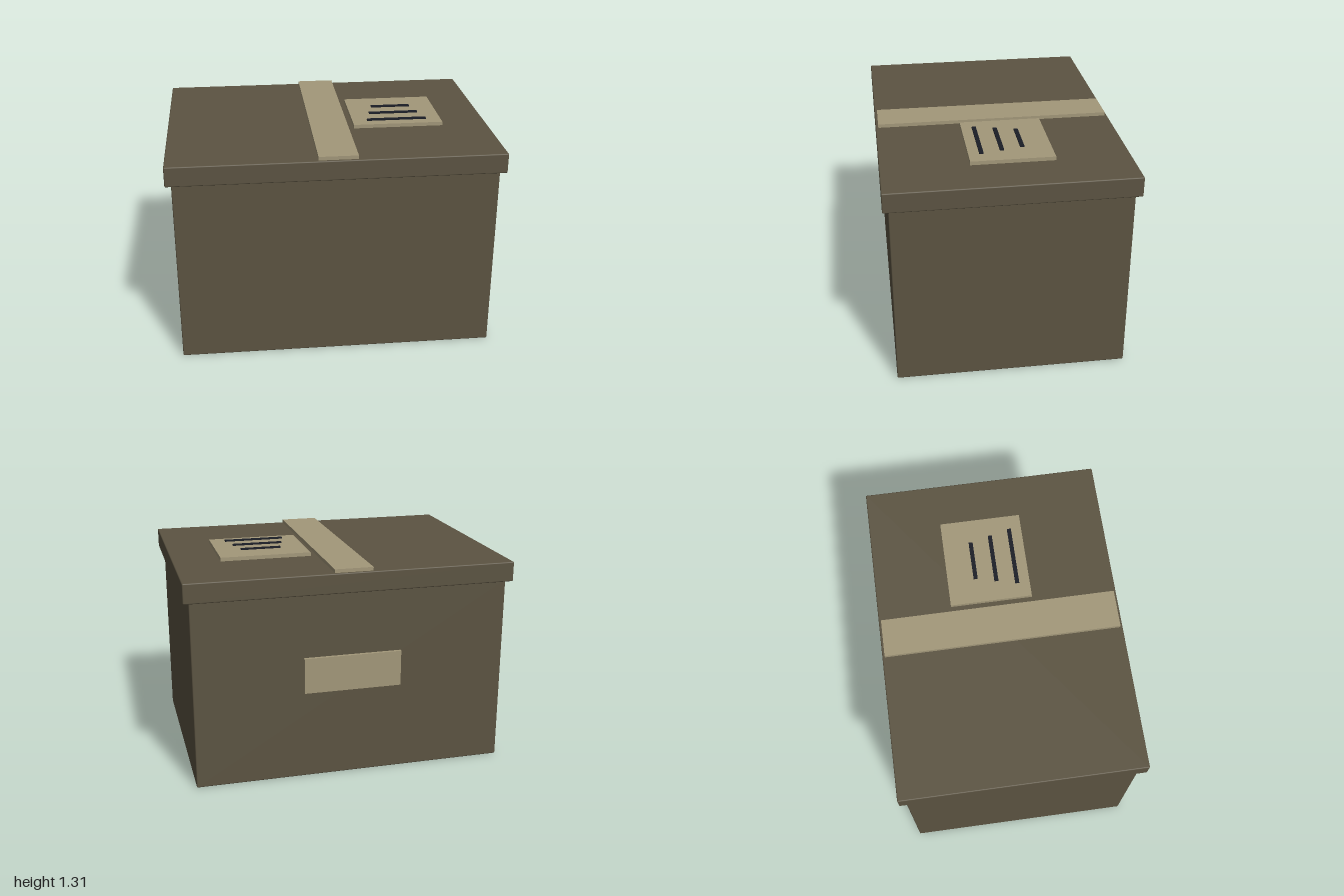
import * as THREE from 'three';
import { RoundedBoxGeometry } from 'three/addons/geometries/RoundedBoxGeometry.js';

const cardboard = new THREE.MeshStandardMaterial({ color: 0x5c5442 });
const paper = new THREE.MeshStandardMaterial({ color: 0xa3987a });
const ink = new THREE.MeshStandardMaterial({ color: 0x1a1d26 });

export function createModel() {
  const model = new THREE.Group();
  model.name = 'storageBox';

  // Box given by its [min, max] range on each axis, with optional softened edges
  function addBox(name, material, [x0, x1], [y0, y1], [z0, z1], radius = 0) {
    const size = [x1 - x0, y1 - y0, z1 - z0];
    const geometry = radius
      ? new RoundedBoxGeometry(...size, 2, radius)
      : new THREE.BoxGeometry(...size);
    const mesh = new THREE.Mesh(geometry, material);
    mesh.name = name;
    mesh.position.set((x0 + x1) / 2, (y0 + y1) / 2, (z0 + z1) / 2);
    model.add(mesh);
  }

  // Carton and overhanging lid
  addBox('body', cardboard, [-0.965, 0.965], [0, 1.17], [-0.7, 0.7], 0.007);
  addBox('lid', cardboard, [-1, 1], [1.16, 1.282], [-0.733, 0.733], 0.007);

  // Tape strip across the lid
  addBox('tape', paper, [-0.117, 0.117], [1.28, 1.304], [-0.717, 0.717]);

  // Paper label with three lines of growing length
  addBox('label', paper, [0.155, 0.715], [1.28, 1.305], [-0.285, 0.215]);
  for (let i = 0; i < 3; i++) {
    const half = 0.125 + i * 0.031;
    const z = -0.112 + i * 0.125;
    addBox('labelLine', ink, [0.435 - half, 0.435 + half], [1.303, 1.313], [z - 0.0125, z + 0.0125]);
  }

  // Hand grip plate on the back
  addBox('gripPlate', paper, [-0.3, 0.3], [0.55, 0.77], [-0.72, -0.695]);

  return model;
}
